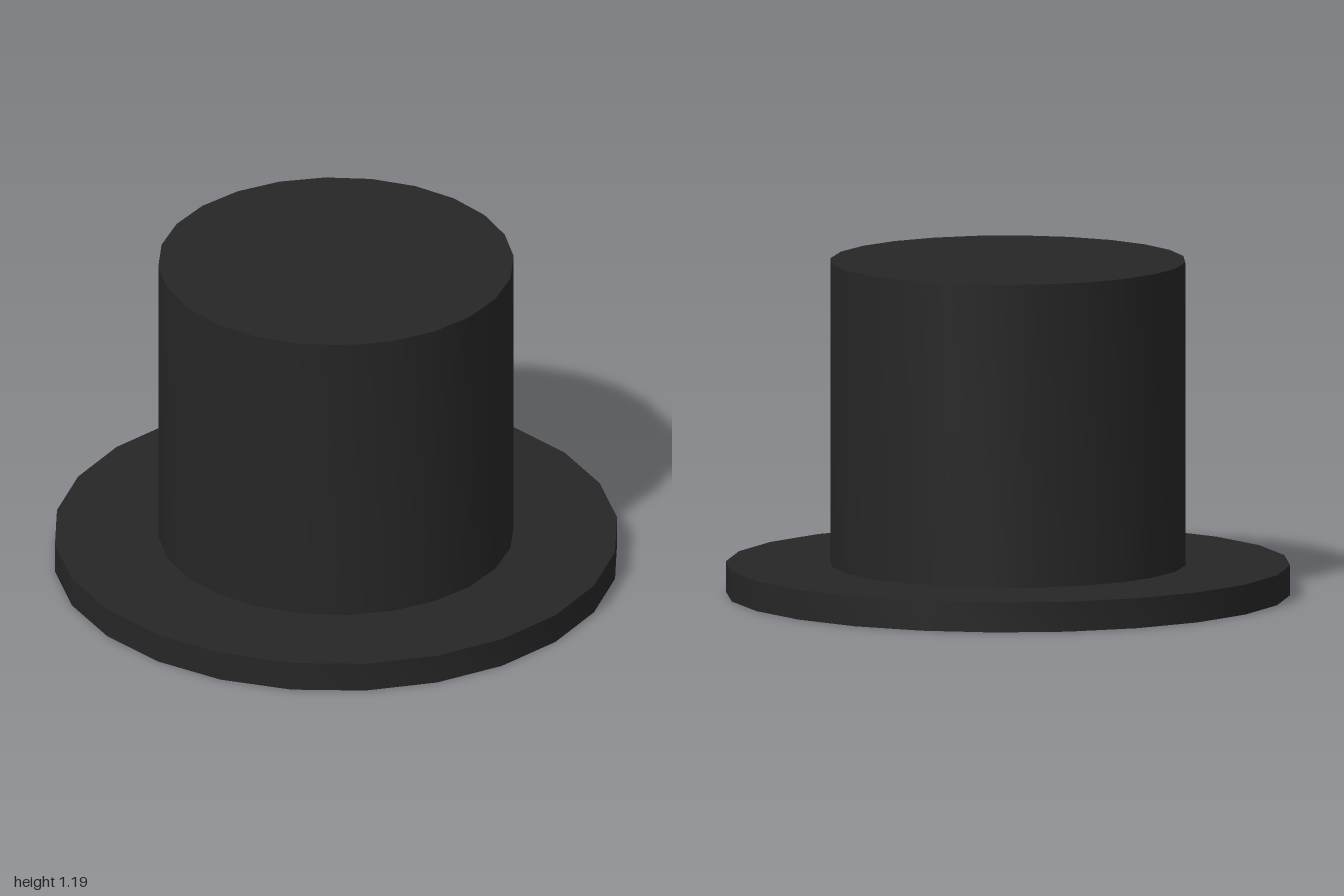
import * as THREE from 'three';
import { toCreasedNormals } from 'three/addons/utils/BufferGeometryUtils.js';

const SIDES = 24;
const BRIM_RADIUS = 1, CROWN_RADIUS = 0.63;
const BRIM_HEIGHT = 0.107, HEIGHT = 1.19;
const TWIST = THREE.MathUtils.degToRad(1.2); // brim and crown facets are slightly offset

// Regular polygon, measured from the front (+z) towards +x
function ring(radius, start) {
  return Array.from({ length: SIDES }, (_, i) => {
    const t = start + (i / SIDES) * Math.PI * 2;
    return new THREE.Vector2(radius * Math.sin(t), -radius * Math.cos(t));
  });
}

// Thin turned shell through [radius, height] points
function turned(points, start) {
  const profile = points.map(([r, y]) => new THREE.Vector2(r, y));
  return toCreasedNormals(new THREE.LatheGeometry(profile, SIDES, start), 0.6);
}

export function createModel() {
  const hat = new THREE.Group();
  hat.name = 'topHat';
  const felt = new THREE.MeshStandardMaterial({ color: 0x262626, side: THREE.DoubleSide });

  const addPart = (name, geometry) => {
    const mesh = new THREE.Mesh(geometry, felt);
    mesh.name = name;
    hat.add(mesh);
  };

  // Brim: flat sheet with the head opening, and a rim hanging from its edge, open below
  const outline = new THREE.Shape(ring(BRIM_RADIUS, TWIST));
  outline.holes.push(new THREE.Path(ring(CROWN_RADIUS, -TWIST)));
  const sheet = new THREE.ShapeGeometry(outline);
  addPart('brimTop', sheet.rotateX(-Math.PI / 2).translate(0, BRIM_HEIGHT, 0));
  addPart('brimRim', turned([[BRIM_RADIUS, 0], [BRIM_RADIUS, BRIM_HEIGHT]], TWIST));

  // Crown: hollow shell, open below and closed on top
  addPart('crown', turned([[CROWN_RADIUS, BRIM_HEIGHT], [CROWN_RADIUS, HEIGHT], [0, HEIGHT]], -TWIST));

  return hat;
}
